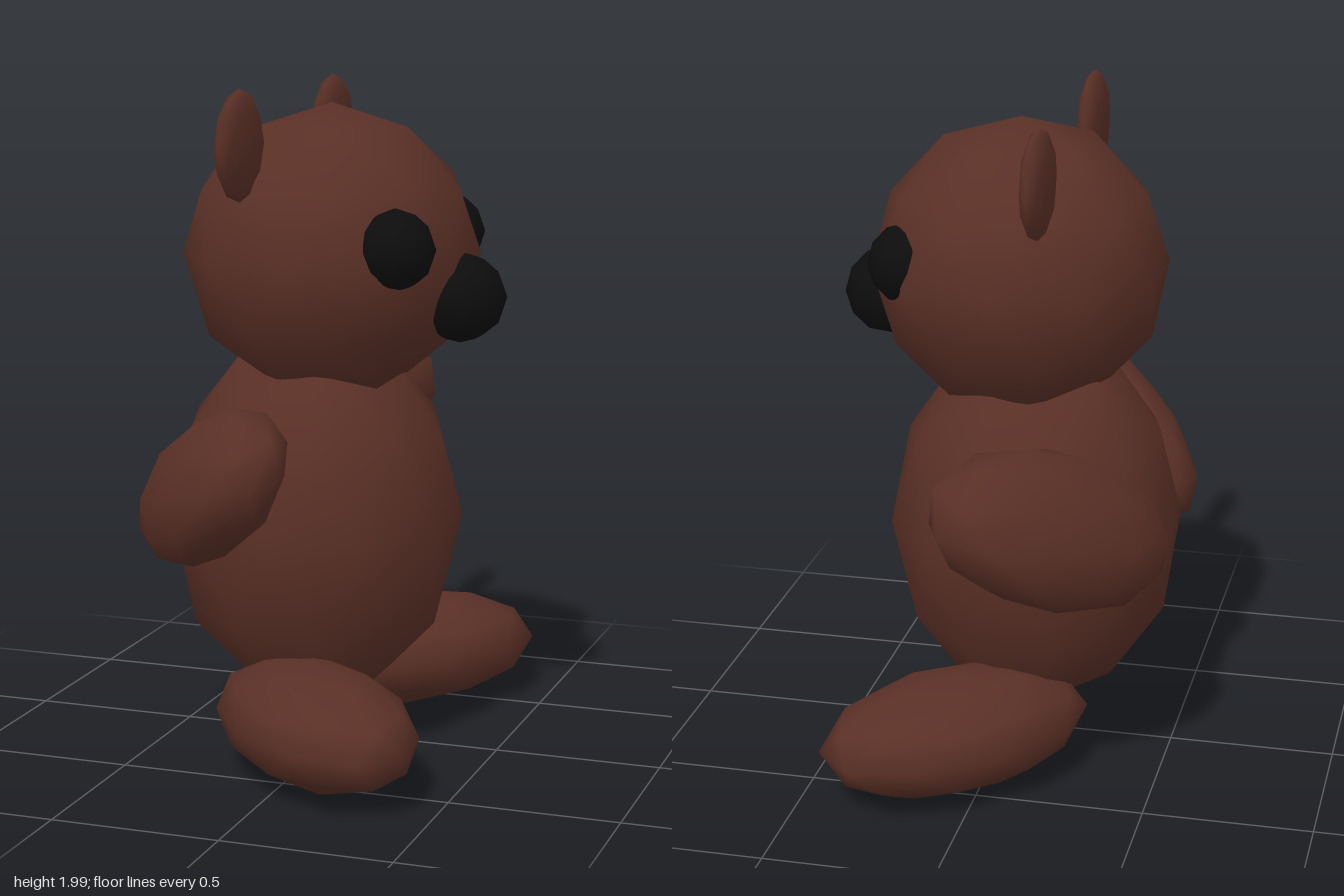
import * as THREE from 'three';

export function createModel() {
  const model = new THREE.Group();
  model.name = 'teddyBear';

  const mat = (name, color) => {
    const m = new THREE.MeshStandardMaterial({ color });
    m.name = name;
    return m;
  };
  const fur = mat('brownFur', 0x5a3026);
  const black = mat('blackFeatures', 0x0d0d0d);

  // Coarse smooth-shaded ball, turned so that a vertex points straight up
  const ball = new THREE.IcosahedronGeometry(1, 1);
  ball.rotateZ(-Math.atan(2 / (1 + Math.sqrt(5))));

  // Ellipsoid with given radii; "along" and "up" aim its local x and y axes
  function blob(name, material, position, radii, along = [1, 0, 0], up = [0, 1, 0]) {
    const mesh = new THREE.Mesh(ball, material);
    mesh.name = name;
    mesh.position.set(...position);
    mesh.scale.set(...radii);
    const x = new THREE.Vector3(...along).normalize();
    const z = new THREE.Vector3().crossVectors(x, new THREE.Vector3(...up)).normalize();
    const y = new THREE.Vector3().crossVectors(z, x);
    mesh.quaternion.setFromRotationMatrix(new THREE.Matrix4().makeBasis(x, y, z));
    model.add(mesh);
  }

  // Body, head and nose; the bear looks along +x
  blob('body', fur, [-0.07, 0.7, 0.018], [0.442, 0.59, 0.445]);
  blob('head', fur, [-0.02, 1.497, 0.015], [0.442, 0.443, 0.445]);
  blob('nose', black, [0.385, 1.385, 0.04], [0.137, 0.134, 0.138]);

  // Paired parts on both sides of the body
  for (const [side, s] of [['left', -1], ['right', 1]]) {
    blob(side + 'Ear', fur, [-0.155, 1.84, 0.022 + s * 0.395], [0.043, 0.16, 0.161]);
    blob(side + 'Eye', black, [0.26, 1.546, 0.032 + s * 0.248], [0.12, 0.12, 0.12]);
    blob(side + 'Arm', fur, [-0.222, 0.865, s * 0.485], [0.44, 0.16, 0.24],
      [0.635, 0.332, s * 0.697], [-0.748, 0.48, s * 0.453]);
    blob(side + 'Leg', fur, [0.08, 0.18, 0.01 + s * 0.43], [0.44, 0.174, 0.252], [1, 0, s]);
  }

  return model;
}
